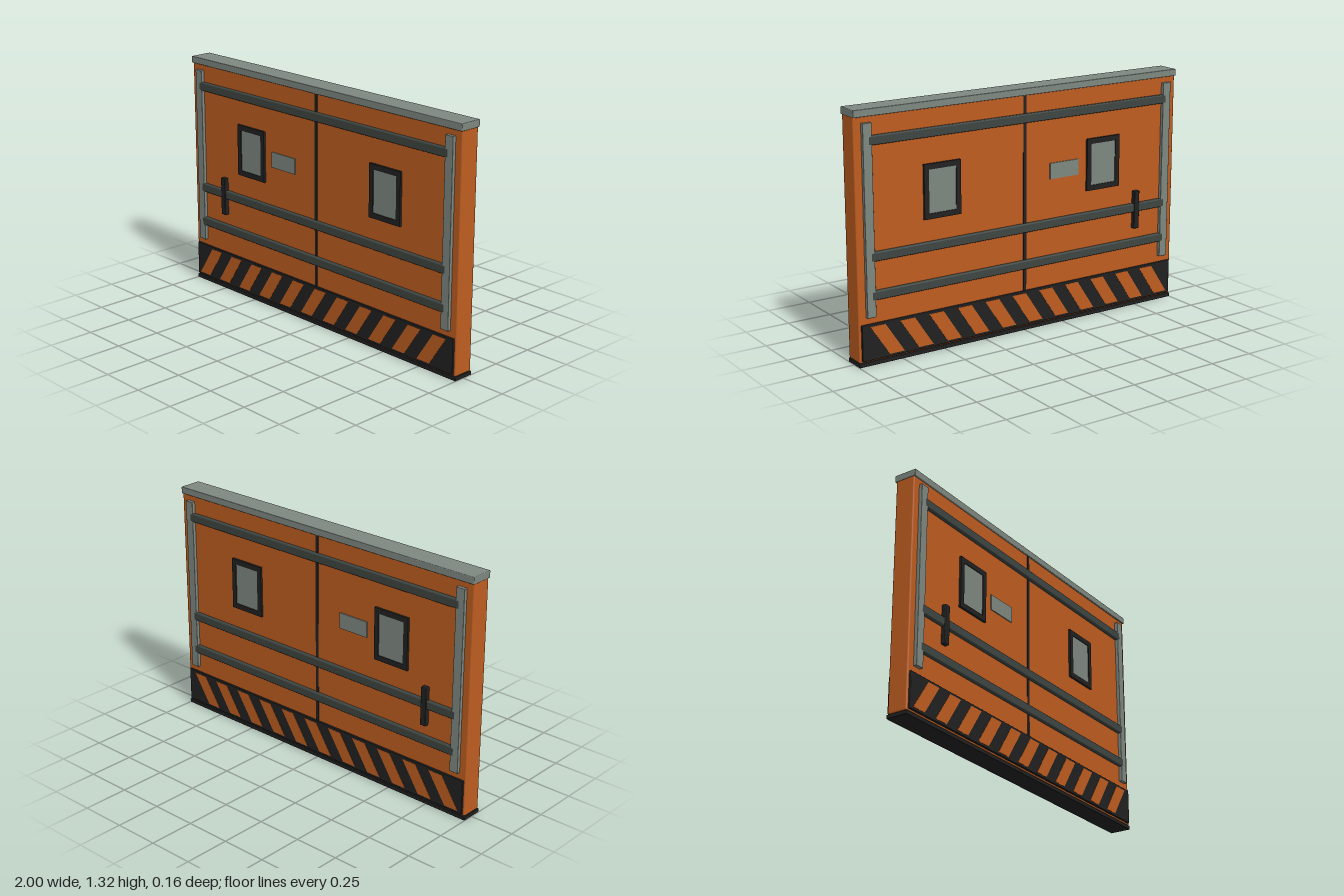
import * as THREE from 'three';
import { RoundedBoxGeometry } from 'three/addons/geometries/RoundedBoxGeometry.js';

export function createModel() {
  const model = new THREE.Group();
  model.name = 'blastDoor';

  const paint = (name, color) => {
    const m = new THREE.MeshStandardMaterial({ color });
    m.name = name;
    return m;
  };
  const orange = paint('orange paint', 0xbe5d20);
  const grey = paint('light grey metal', 0x7e8780);
  const darkGrey = paint('dark grey metal', 0x3e4541);
  const black = paint('black rubber', 0x212121);

  // Box given by its limits on each axis; bevel rounds the edges
  function box(name, mat, [x0, x1], [y0, y1], [z0, z1], bevel = 0) {
    const size = [x1 - x0, y1 - y0, z1 - z0];
    const geo = bevel
      ? new RoundedBoxGeometry(...size, 2, bevel)
      : new THREE.BoxGeometry(...size);
    const mesh = new THREE.Mesh(geo, mat);
    mesh.name = name;
    mesh.position.set((x0 + x1) / 2, (y0 + y1) / 2, (z0 + z1) / 2);
    model.add(mesh);
    return mesh;
  }

  // Slab, top cap and bottom seal
  box('doorSlab', orange, [-0.998, 0.998], [0.022, 1.282], [-0.056, 0.056], 0.008);
  box('topCap', grey, [-1, 1], [1.277, 1.315], [-0.064, 0.064], 0.004);
  box('bottomSeal', black, [-1, 1], [0, 0.021], [-0.06, 0.06], 0.003);

  // One slanted hazard stripe
  const stripe = new THREE.Shape();
  stripe.moveTo(-0.097, 0.045);
  stripe.lineTo(-0.011, 0.045);
  stripe.lineTo(0.097, 0.21);
  stripe.lineTo(0.011, 0.21);
  stripe.closePath();
  const stripeDepth = 0.002;
  const stripeGeo = new THREE.ExtrudeGeometry(stripe, { depth: stripeDepth, bevelEnabled: false });

  // Window surround with an opening
  const surround = new THREE.Shape();
  surround.moveTo(-0.108, -0.143);
  surround.lineTo(0.108, -0.143);
  surround.lineTo(0.108, 0.143);
  surround.lineTo(-0.108, 0.143);
  surround.closePath();
  const opening = new THREE.Path();
  opening.moveTo(-0.08, -0.114);
  opening.lineTo(-0.08, 0.114);
  opening.lineTo(0.08, 0.114);
  opening.lineTo(0.08, -0.114);
  opening.closePath();
  surround.holes.push(opening);
  const surroundGeo = new THREE.ExtrudeGeometry(surround, { depth: 0.016, bevelEnabled: false });

  // Fittings are the same on both faces
  for (const [side, s] of [['front', 1], ['back', -1]]) {
    const out = (z0, z1) => (s > 0 ? [z0, z1] : [-z1, -z0]);

    box(side + 'CentreSeam', black, [-0.009, 0.009], [0.2, 1.277], out(0.05, 0.059));

    // Corner uprights
    for (const x of [-0.931, 0.931])
      box(side + 'Upright', grey, [x - 0.025, x + 0.025], [0.258, 1.247], out(0.05, 0.075), 0.002);

    // Horizontal rails
    for (const y of [1.158, 0.57, 0.369])
      box(side + 'Rail', darkGrey, [-0.927, 0.927], [y - 0.024, y + 0.024], out(0.05, 0.0758), 0.007);

    // Windows
    for (const x of [-0.506, 0.506]) {
      const frame = new THREE.Mesh(surroundGeo, black);
      frame.name = side + 'WindowFrame';
      frame.position.set(x, 0.854, out(0.052, 0.068)[0]);
      model.add(frame);
      box(side + 'WindowPane', grey, [x - 0.081, x + 0.081], [0.739, 0.969], out(0.055, 0.064));
    }

    // Plain plate and pull handle
    box(side + 'Plate', grey, [-0.343, -0.16], [0.81, 0.896], out(0.055, 0.062));
    box(side + 'Handle', black, [-0.75, -0.716], [0.452, 0.665], out(0.05, 0.081), 0.004);

    // Hazard kick board with stripes
    box(side + 'KickBoard', black, [-0.985, 0.985], [0.032, 0.223], out(0.05, 0.067), 0.003);
    for (let i = 0; i < 11; i++) {
      const mesh = new THREE.Mesh(stripeGeo, orange);
      mesh.name = side + 'HazardStripe';
      mesh.position.set(-0.866 + i * 0.1708, 0, out(0.0665, 0.0665 + stripeDepth)[0]);
      model.add(mesh);
    }
  }

  return model;
}
